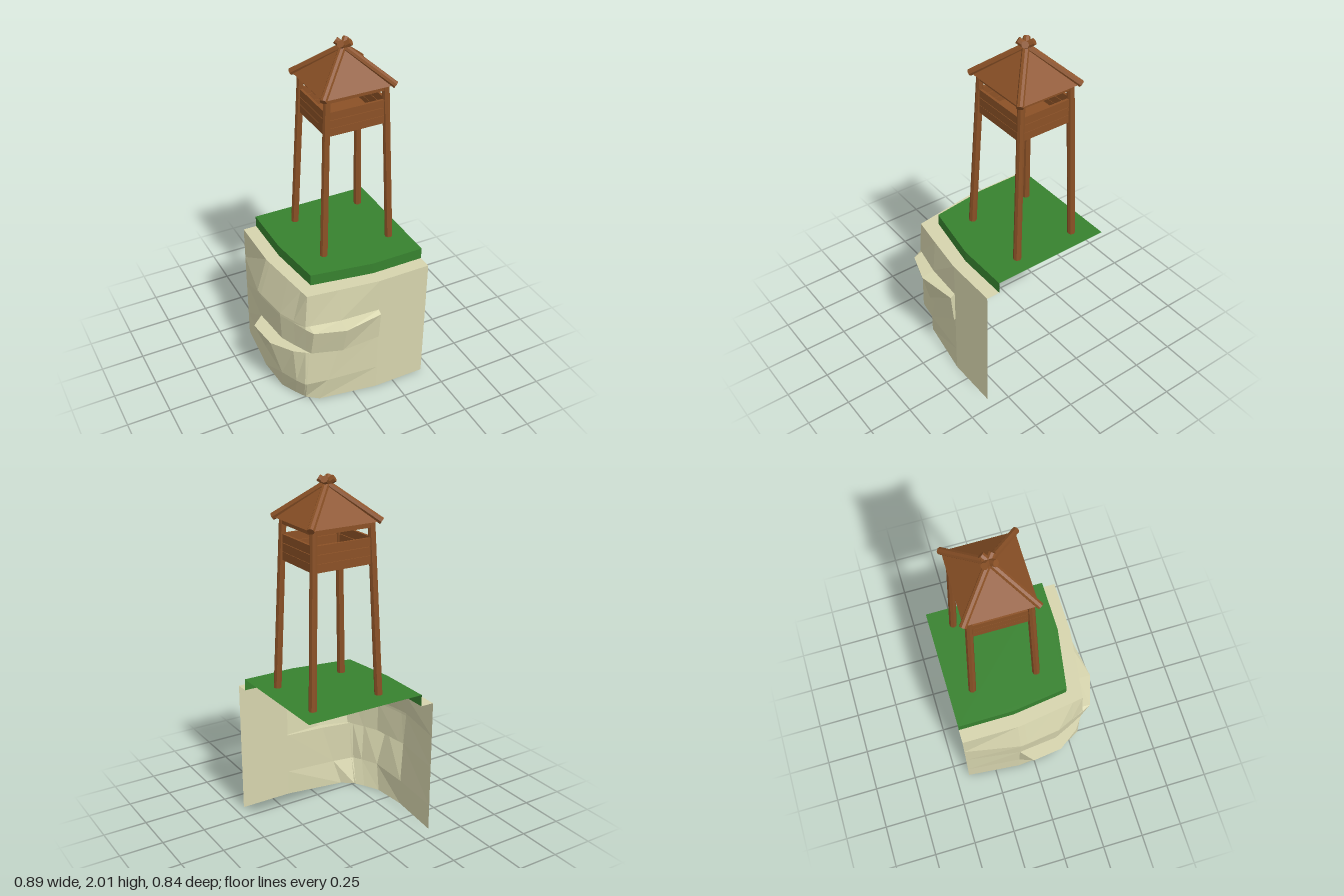
import * as THREE from 'three';

const mat = (name, color, side = THREE.FrontSide) => {
  const m = new THREE.MeshStandardMaterial({ color, side, flatShading: true });
  m.name = name;
  return m;
};

// Flat-shaded surface through cross-sections with equal point counts
function loft(rings) {
  const pos = [];
  for (let i = 0; i < rings.length - 1; i++) {
    for (let j = 0; j < rings[i].length - 1; j++) {
      const a = rings[i][j], b = rings[i][j + 1], c = rings[i + 1][j + 1], d = rings[i + 1][j];
      pos.push(...a, ...b, ...c, ...a, ...c, ...d);
    }
  }
  const g = new THREE.BufferGeometry();
  g.setAttribute('position', new THREE.Float32BufferAttribute(pos, 3));
  g.computeVertexNormals();
  return g;
}

const ring = (y, pts) => pts.map(([x, z]) => [x, y, z]);

export function createModel() {
  const model = new THREE.Group();
  model.name = 'cliffWatchtower';
  const stone = mat('pale stone', 0xd6d4ad, THREE.DoubleSide);
  const grass = mat('grass green', 0x37822f, THREE.DoubleSide);
  const wood = mat('brown wood', 0x8b5126, THREE.DoubleSide);

  const add = (parent, name, geo, material) => {
    const m = new THREE.Mesh(geo, material);
    m.name = name;
    parent.add(m);
    return m;
  };

  // Cliff: open shell running from the back, around the corner, to the far end of the front
  const back = [-0.33, -0.42], end = [0.445, 0.355], f = [0.14, 0.355];
  const base = [back, [-0.36, -0.1], [-0.36, -0.1], [-0.345, 0.1], [-0.3, 0.19],
    [-0.27, 0.24], [-0.265, 0.25], [-0.2, 0.3], f, f, end];
  const low = [back, [-0.36, -0.1], [-0.36, -0.1], [-0.365, 0.15], [-0.32, 0.25],
    [-0.29, 0.3], [-0.28, 0.305], [-0.16, 0.325], f, f, end];
  const sideLedge = [back, [-0.375, -0.1], [-0.447, -0.035], [-0.425, 0.14], [-0.34, 0.26],
    [-0.285, 0.3], [-0.265, 0.305], [-0.09, 0.335], f, f, end];
  const frontLedgeLow = [back, [-0.375, -0.1], [-0.37, -0.06], [-0.35, 0.13], [-0.31, 0.22],
    [-0.275, 0.29], [-0.26, 0.32], [-0.09, 0.375], [0.14, 0.365], f, end];
  const frontLedgeTop = [back, [-0.39, -0.1], [-0.387, -0.06], [-0.36, 0.14], [-0.32, 0.23],
    [-0.287, 0.31], [-0.262, 0.362], [-0.09, 0.418], [0.14, 0.382], f, end];
  const shoulder = [back, [-0.39, -0.1], [-0.387, -0.06], [-0.36, 0.14], [-0.32, 0.23],
    [-0.285, 0.305], [-0.265, 0.31], [-0.09, 0.343], f, f, end];
  const brow = [back, [-0.33, -0.1], [-0.325, -0.06], [-0.298, 0.12], [-0.28, 0.24],
    [-0.27, 0.3], [-0.26, 0.301], [-0.09, 0.325], f, f, end];
  const inner = [[-0.252, -0.42], [-0.252, -0.1], [-0.247, -0.06], [-0.224, 0.11], [-0.214, 0.19],
    [-0.21, 0.22], [-0.205, 0.221], [-0.09, 0.24], [0.14, 0.278], [0.14, 0.278], [0.445, 0.278]];
  add(model, 'cliff', loft([
    ring(0, base), ring(0.15, low), ring(0.39, sideLedge), ring(0.39, frontLedgeLow),
    ring(0.565, frontLedgeTop), ring(0.58, shoulder), ring(0.78, brow), ring(0.78, inner),
  ]), stone);

  // Grass: top sheet with a skirt on the two cliff sides
  const edge = [[-0.252, -0.42], [-0.252, -0.1], [-0.21, 0.22], [0.14, 0.278], [0.445, 0.278]];
  add(model, 'grassSkirt', loft([ring(0.78, edge), ring(0.846, edge)]), grass);
  const outline = [...edge, [0.445, -0.42]].map(([x, z]) => new THREE.Vector2(x, -z));
  const top = new THREE.ShapeGeometry(new THREE.Shape(outline));
  top.rotateX(-Math.PI / 2).translate(0, 0.846, 0);
  add(model, 'grassTop', top, grass);

  // Tower
  const tower = new THREE.Group();
  tower.name = 'tower';
  tower.position.set(0.14, 0, -0.1);
  model.add(tower);

  const pole = (name, a, b, r0, r1) => {
    const p = new THREE.Vector3(...a), q = new THREE.Vector3(...b);
    const dir = q.clone().sub(p);
    const m = add(tower, name, new THREE.CylinderGeometry(r1, r0, dir.length(), 8), wood);
    m.position.copy(p).add(q).multiplyScalar(0.5);
    m.quaternion.setFromUnitVectors(new THREE.Vector3(0, 1, 0), dir.normalize());
  };

  // Leaning legs, and rafters that cross at the peak
  for (const sx of [-1, 1]) {
    for (const sz of [-1, 1]) {
      pole('leg', [sx * 0.204, 0.84, sz * 0.186], [sx * 0.168, 1.79, sz * 0.152], 0.022, 0.02);
      pole('rafter', [sx * 0.207, 1.787, sz * 0.19], [-sx * 0.03, 1.994, -sz * 0.028], 0.019, 0.019);
    }
  }

  // Roof: open four-sided pyramid
  const eave = [[-0.204, -0.186], [-0.204, 0.186], [0.204, 0.186], [0.204, -0.186], [-0.204, -0.186]];
  add(tower, 'roof', loft([ring(1.785, eave), ring(1.975, eave.map(() => [0, 0]))]), wood);

  // Railing planks and top beams on all four sides
  const rails = [[1.588, 0.044], [1.634, 0.044], [1.681, 0.044], [1.77, 0.03]];
  for (const [y, h] of rails) {
    for (const s of [-1, 1]) {
      add(tower, 'plank', new THREE.BoxGeometry(0.34, h, 0.014), wood).position.set(0, y, s * 0.158);
      add(tower, 'plank', new THREE.BoxGeometry(0.014, h, 0.31), wood).position.set(s * 0.173, y, 0);
    }
  }
  add(tower, 'floor', new THREE.BoxGeometry(0.34, 0.014, 0.31), wood).position.y = 1.574;

  return model;
}
